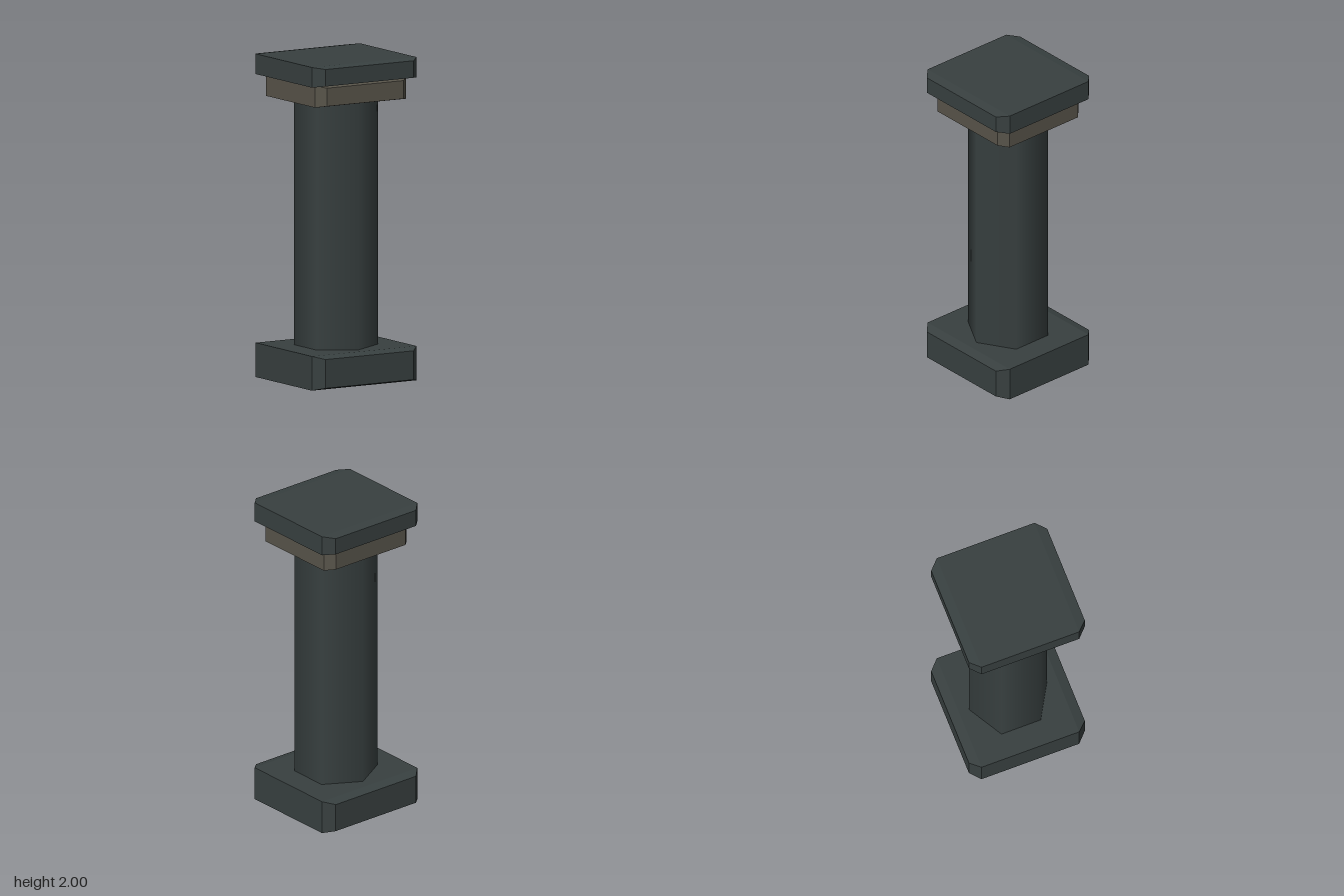
import * as THREE from 'three';

const stone = new THREE.MeshStandardMaterial({ color: 0x384040 });
stone.name = 'darkStone';
const trim = new THREE.MeshStandardMaterial({ color: 0x58544a });
trim.name = 'warmStone';

// Block whose front and back ends are bevelled, stretched to the given size
function slab(name, width, bottom, top, material) {
  const bevel = 0.079;
  const h = 0.5 - bevel;
  const shape = new THREE.Shape([
    new THREE.Vector2(-h, -h), new THREE.Vector2(h, -h),
    new THREE.Vector2(h, h), new THREE.Vector2(-h, h),
  ]);
  const geometry = new THREE.ExtrudeGeometry(shape, {
    depth: 2 * h, bevelEnabled: true, bevelSegments: 1,
    bevelSize: bevel, bevelThickness: bevel,
  });
  geometry.translate(0, 0, -h);
  geometry.scale(width, top - bottom, width);
  const mesh = new THREE.Mesh(geometry, material);
  mesh.name = name;
  mesh.position.y = (bottom + top) / 2;
  return mesh;
}

export function createModel() {
  const column = new THREE.Group();
  column.name = 'column';

  // Plinth, collar and top slab
  column.add(
    slab('base', 0.76, 0, 0.212, stone),
    slab('collar', 0.66, 1.741, 1.875, trim),
    slab('topSlab', 0.76, 1.875, 2, stone),
  );

  // Six-sided shaft with smooth normals, one corner facing the front
  const shaft = new THREE.Mesh(new THREE.CylinderGeometry(0.257, 0.257, 1.56, 6), stone);
  shaft.name = 'shaft';
  shaft.position.y = 0.975;
  column.add(shaft);

  return column;
}
